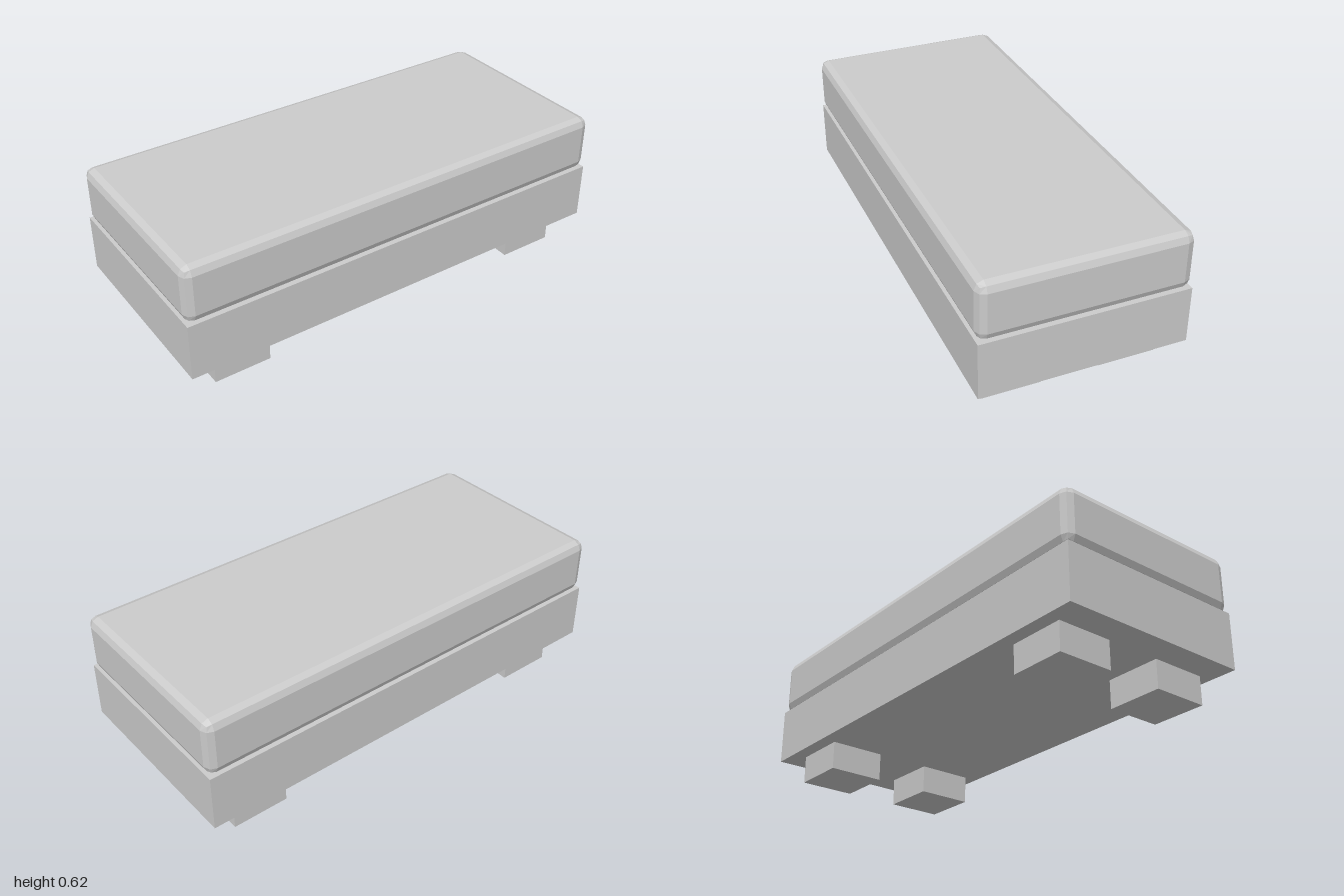
import * as THREE from 'three';
import { RoundedBoxGeometry } from 'three/addons/geometries/RoundedBoxGeometry.js';

export function createModel() {
  const model = new THREE.Group();
  model.name = 'bench';
  const material = new THREE.MeshStandardMaterial({ color: 0xcccccc, flatShading: true });

  const add = (name, geometry, x, y, z) => {
    const mesh = new THREE.Mesh(geometry, material);
    mesh.name = name;
    mesh.position.set(x, y, z);
    model.add(mesh);
  };

  // Padded seat with softly chamfered edges
  add('cushion', new RoundedBoxGeometry(2, 0.25, 0.875, 1, 0.0375), 0, 0.5, 0);

  // Solid base slab
  add('base', new THREE.BoxGeometry(2, 0.25, 0.875), 0, 0.25, 0);

  // Four square feet
  const foot = new THREE.BoxGeometry(0.25, 0.125, 0.25);
  for (const [side, x] of [['Left', 0.75], ['Right', -0.75]]) {
    for (const [end, z] of [['front', 0.25], ['back', -0.25]]) {
      add(`${end}${side}Foot`, foot, x, 0.0625, z);
    }
  }

  return model;
}
